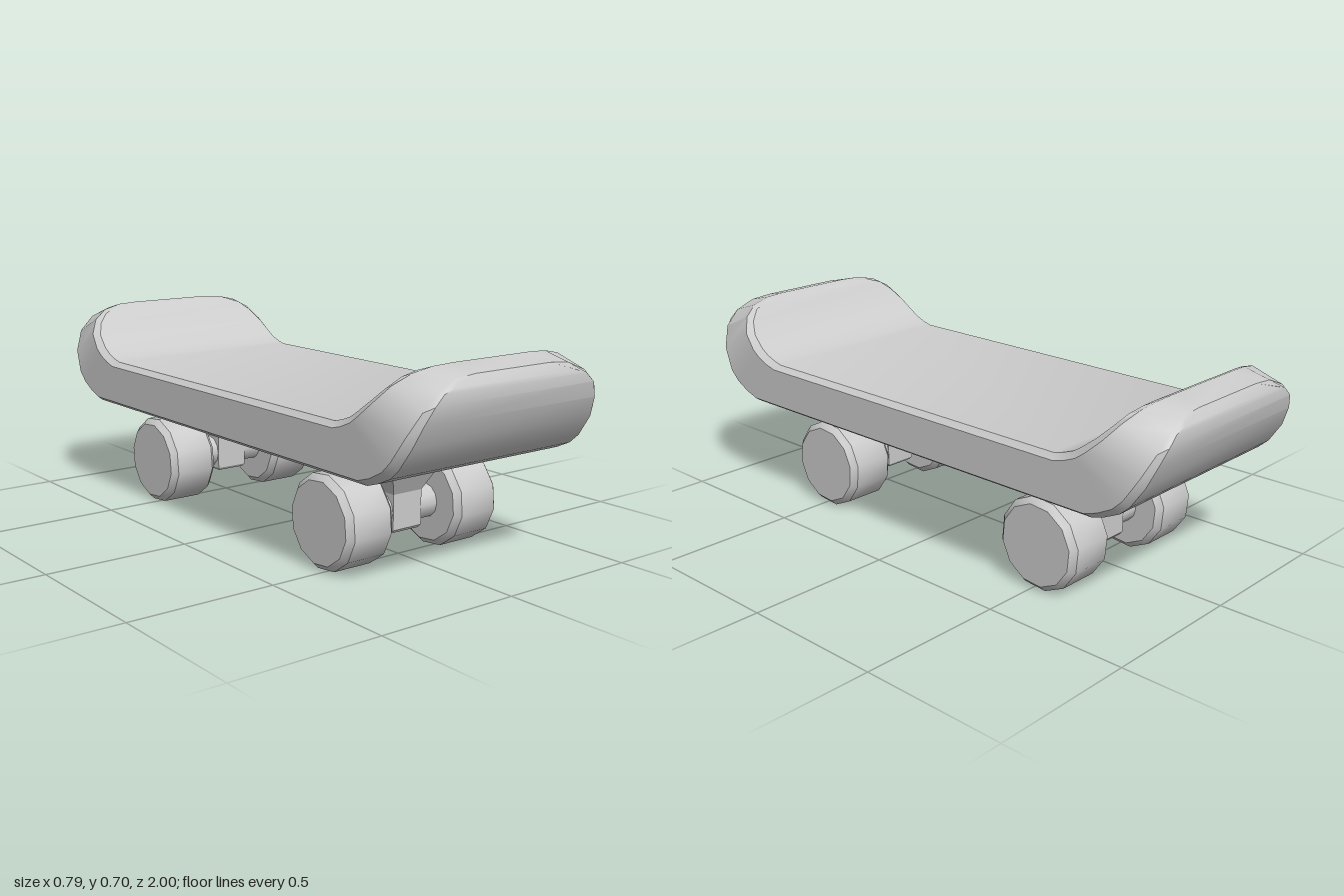
import * as THREE from 'three';
import { toCreasedNormals } from 'three/addons/utils/BufferGeometryUtils.js';

const material = new THREE.MeshStandardMaterial({ color: 0xcccccc });
const flatMaterial = new THREE.MeshStandardMaterial({ color: 0xcccccc, flatShading: true });
const spline = (pts) => new THREE.SplineCurve(pts.map(([z, y]) => new THREE.Vector2(z, y)));
const profile = (pts) => pts.map(([r, y]) => new THREE.Vector2(r, y));

// Side profiles (z, y) of the upturned end, from the flat middle to the tip
const topCurve = spline([[0.635, 0.515], [0.70, 0.535], [0.76, 0.575], [0.81, 0.62], [0.85, 0.67], [0.88, 0.70]]);
const bottomCurve = spline([[0.78, 0.35], [0.87, 0.385], [0.935, 0.45], [0.975, 0.53], [1.0, 0.61], [0.988, 0.675]]);

// Layers through the thickness: height t, reach towards the tip, side and tip half-widths
const layers = [
  { t: 0, reach: 0.9, side: 0.37, tip: 0.25 },
  { t: 0.1, reach: 1, side: 0.395, tip: 0.15 },
  { t: 0.9, reach: 1, side: 0.395, tip: 0.15 },
  { t: 1, reach: 0.9, side: 0.375, tip: 0.21 },
];

// Stations along one end: s is the distance towards the tip, w the corner rounding
const CORNER = 0.35;
const stations = [0, 0.12, 0.24].map((s) => ({ s, w: 1 }));
for (let i = 0; i <= 5; i++) {
  const a = (i / 5) * Math.PI / 2;
  stations.push({ s: CORNER + (1 - CORNER) * Math.sin(a), w: Math.cos(a) });
}

// Eight-point cross-section, counterclockwise seen from the front
function deckRing({ s, w }, dir) {
  const pts = layers.map((l) => {
    const p = bottomCurve.getPoint(s * l.reach).lerp(topCurve.getPoint(s * l.reach), l.t);
    return [l.tip + (l.side - l.tip) * w, p.y, p.x * dir];
  });
  const mirror = ([x, y, z]) => [-x, y, z];
  return [mirror(pts[0]), ...pts, mirror(pts[3]), mirror(pts[2]), mirror(pts[1])];
}

function createDeck() {
  const rings = [
    ...[...stations].reverse().map((st) => deckRing(st, -1)),
    ...stations.map((st) => deckRing(st, 1)),
  ];
  const index = [];
  const quad = (a, b, c, d) => index.push(a, b, c, a, c, d);
  for (let j = 0; j < rings.length - 1; j++) {
    for (let k = 0; k < 8; k++) {
      const n = (k + 1) % 8;
      quad(j * 8 + k, j * 8 + n, j * 8 + 8 + n, j * 8 + 8 + k);
    }
  }
  // Tip walls and their bevels
  const last = (rings.length - 1) * 8;
  for (const [a, b, c, d] of [[0, 1, 2, 7], [7, 2, 3, 6], [6, 3, 4, 5]]) {
    quad(last + a, last + b, last + c, last + d);
    quad(d, c, b, a);
  }
  const geo = new THREE.BufferGeometry();
  geo.setAttribute('position', new THREE.Float32BufferAttribute(rings.flat(2), 3));
  geo.setIndex(index);
  const deck = new THREE.Mesh(toCreasedNormals(geo, 0.48), material);
  deck.name = 'deck';
  return deck;
}

// Twelve-sided wheel with chamfered rims, lying along x
function wheelGeometry() {
  const h = 0.092, r = 0.157, c = 0.02;
  const geo = new THREE.LatheGeometry(
    profile([[0, -h], [r - c, -h], [r, c - h], [r, h - c], [r - c, h], [0, h]]), 12);
  geo.rotateZ(Math.PI / 2).rotateX(0.17);
  return toCreasedNormals(geo, 0.6);
}

function createTruck(name, z) {
  const truck = new THREE.Group();
  truck.name = name;
  truck.position.z = z;
  const add = (part, geo, mat, x, y) => {
    const mesh = new THREE.Mesh(geo, mat);
    mesh.name = part;
    mesh.position.set(x, y, 0);
    truck.add(mesh);
  };
  // Square hanger flaring up to the deck
  const hanger = new THREE.LatheGeometry(profile(
    [[0, 0.09], [0.053, 0.09], [0.059, 0.099], [0.059, 0.217], [0.128, 0.355]]
      .map(([r, y]) => [r * Math.SQRT2, y])), 4);
  add('hanger', hanger.rotateY(Math.PI / 4), flatMaterial, 0, 0);
  const axle = new THREE.CylinderGeometry(0.057, 0.057, 0.28, 12).rotateZ(Math.PI / 2);
  add('axle', axle, material, 0, 0.157);
  const wheel = wheelGeometry();
  add('leftWheel', wheel, material, 0.222, 0.157);
  add('rightWheel', wheel, material, -0.222, 0.157);
  return truck;
}

export function createModel() {
  const skateboard = new THREE.Group();
  skateboard.name = 'skateboard';
  skateboard.add(createDeck(), createTruck('frontTruck', 0.482), createTruck('rearTruck', -0.518));
  return skateboard;
}
